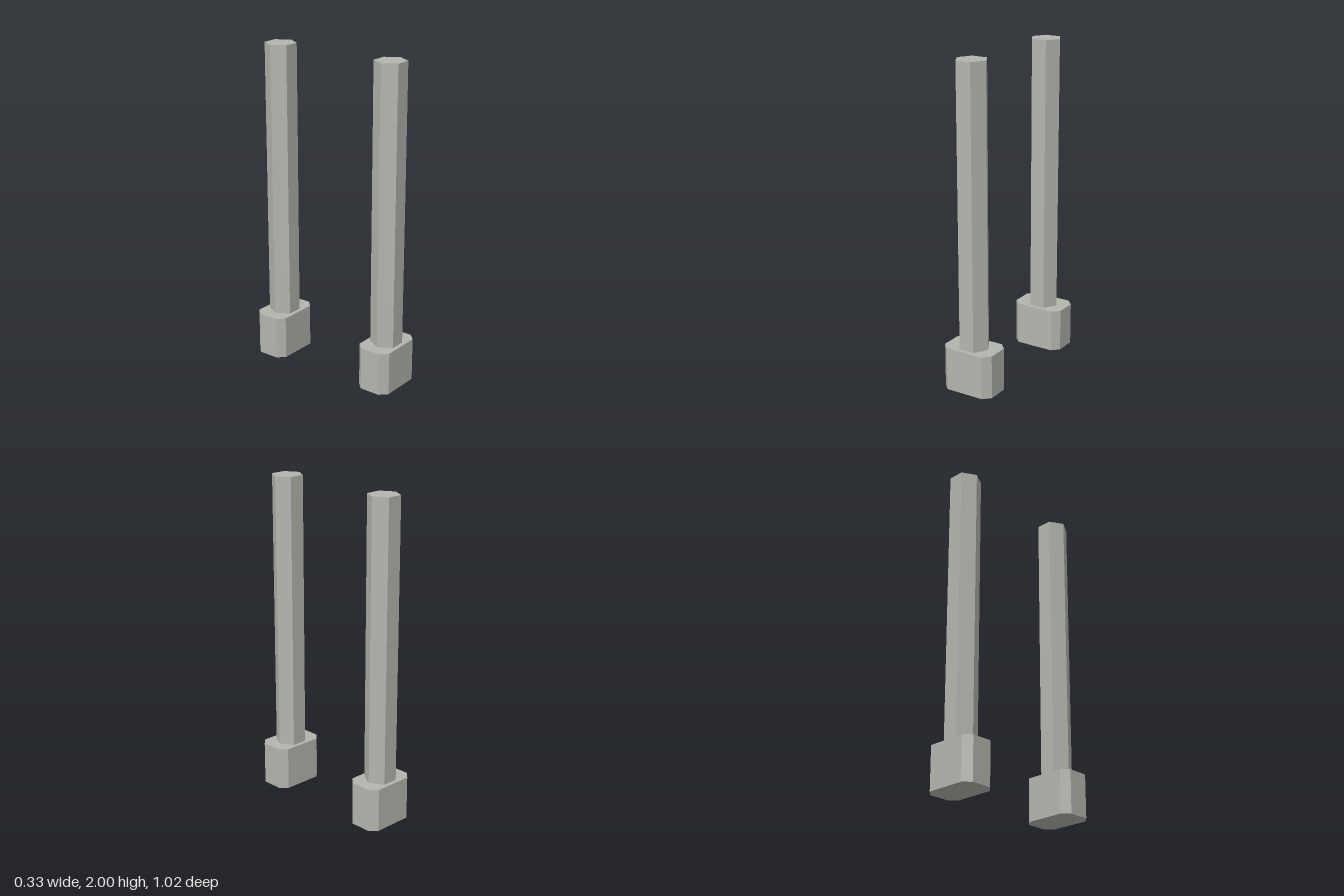
import * as THREE from 'three';

const BASE_HEIGHT = 0.27, TOTAL_HEIGHT = 2, POST_OFFSET = 0.4;

// Upright prism from a plan outline, standing on y = 0
function prism(points, height) {
  const shape = new THREE.Shape(points.map(([x, z]) => new THREE.Vector2(x, z)));
  const geometry = new THREE.ExtrudeGeometry(shape, { depth: height, bevelEnabled: false });
  return geometry.rotateX(-Math.PI / 2);
}

// Rectangle with cut corners
function chamferedRect(w, d, c) {
  return [
    [w - c, -d], [w, -d + c], [w, d - c], [w - c, d],
    [-w + c, d], [-w, d - c], [-w, -d + c], [-w + c, -d],
  ];
}

// Hexagon with corners pointing along x, slightly squashed front to back
function hexagon(rx, rz) {
  return Array.from({ length: 6 }, (_, i) => {
    const a = (i * Math.PI) / 3;
    return [rx * Math.cos(a), rz * Math.sin(a)];
  });
}

export function createModel() {
  const stone = new THREE.MeshStandardMaterial({ color: 0xb5b5ae });
  stone.name = 'stoneGrey';

  const baseGeometry = prism(chamferedRect(0.167, 0.11, 0.044), BASE_HEIGHT);
  const shaftGeometry = prism(hexagon(0.097, 0.097), TOTAL_HEIGHT - BASE_HEIGHT);

  const model = new THREE.Group();
  model.name = 'pairOfPosts';

  // Front and back posts, each a shaft on a chamfered base
  for (const [name, side] of [['frontPost', 1], ['backPost', -1]]) {
    const post = new THREE.Group();
    post.name = name;
    post.position.z = side * POST_OFFSET;

    const base = new THREE.Mesh(baseGeometry, stone);
    base.name = 'base';

    const shaft = new THREE.Mesh(shaftGeometry, stone);
    shaft.name = 'shaft';
    shaft.position.y = BASE_HEIGHT;

    post.add(base, shaft);
    model.add(post);
  }
  return model;
}
